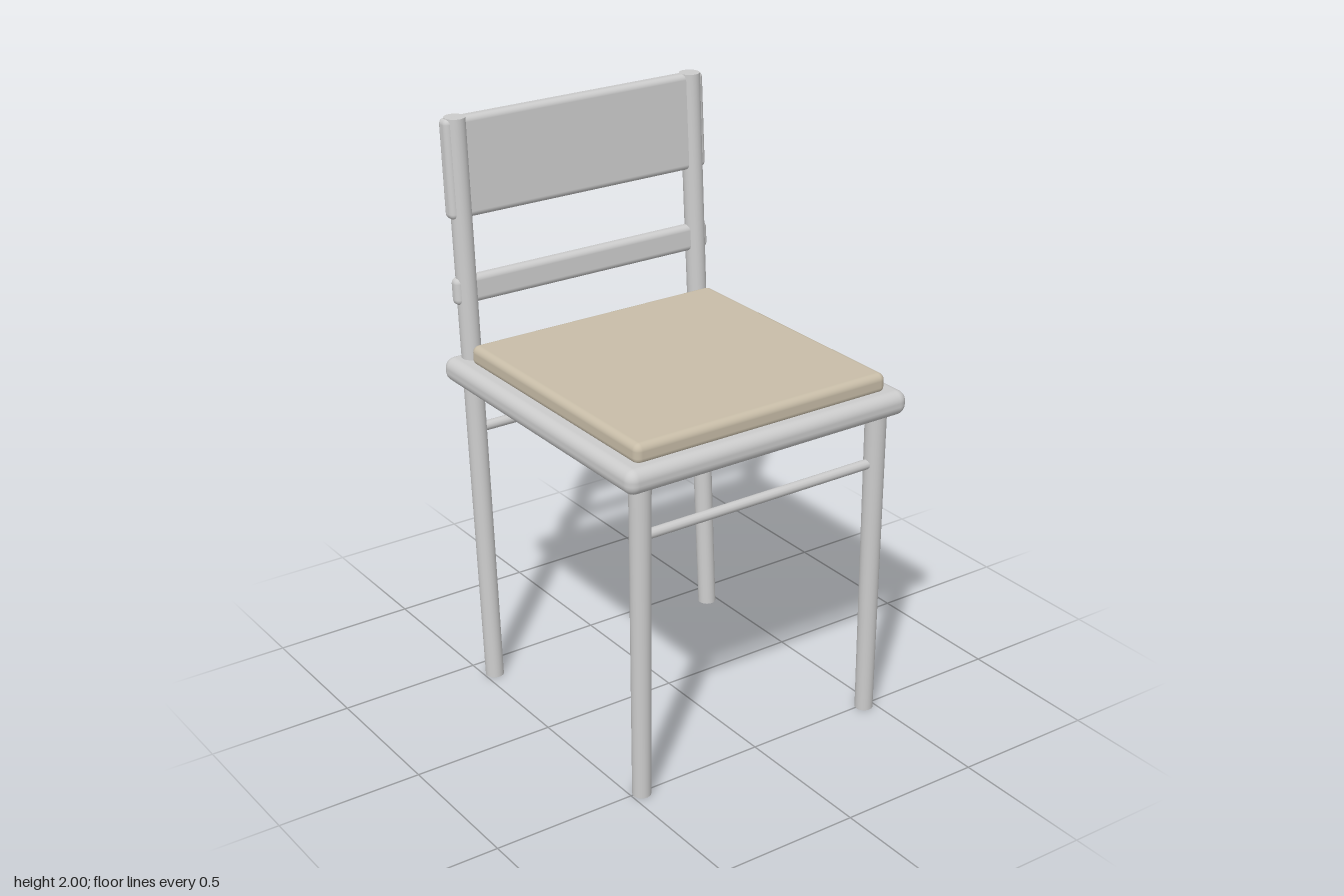
import * as THREE from 'three';
import { RoundedBoxGeometry } from 'three/addons/geometries/RoundedBoxGeometry.js';

const grey = new THREE.MeshStandardMaterial({ color: 0xcccccc });
const fabric = new THREE.MeshStandardMaterial({ color: 0xc8bda8 });

const LEG_X = 0.463;   // half distance between legs
const FRONT_Z = 0.507; // front leg line
const LEAN = 0.063;    // backward slope of the rear posts
const postZ = (y) => -0.411 - LEAN * y;

export function createModel() {
  const chair = new THREE.Group();
  chair.name = 'chair';

  const add = (name, geometry, x, y, z, material = grey) => {
    const mesh = new THREE.Mesh(geometry, material);
    mesh.name = name;
    mesh.position.set(x, y, z);
    chair.add(mesh);
    return mesh;
  };
  const slab = (name, [w, h, d], radius, y, z, material) =>
    add(name, new RoundedBoxGeometry(w, h, d, 4, radius), 0, y, z, material);

  // Seat board and cushion
  slab('seat', [1.09, 0.084, 1.12], 0.036, 1.144, 0.015);
  slab('cushion', [0.974, 0.07, 0.975], 0.024, 1.21, 0.0375, fabric);

  // Legs: straight tapered front legs, leaning rear posts with level ends
  for (const [side, s] of [['left', 1], ['right', -1]]) {
    add(side + 'FrontLeg', new THREE.CylinderGeometry(0.036, 0.031, 1.12, 20), s * LEG_X, 0.56, FRONT_Z);

    const post = new THREE.CylinderGeometry(0.036, 0.032, 2, 20);
    post.applyMatrix4(new THREE.Matrix4().set(
      1, 0, 0, 0,
      0, 1, 0, 0,
      0, -LEAN, 1, 0,
      0, 0, 0, 1));
    add(side + 'RearPost', post, s * LEG_X, 1, postZ(1));
  }

  // Thin round stretchers under the seat
  for (const [name, z] of [['frontStretcher', FRONT_Z], ['rearStretcher', postZ(0.93)]]) {
    const rod = new THREE.CylinderGeometry(0.017, 0.017, 2 * LEG_X, 12).rotateZ(Math.PI / 2);
    add(name, rod, 0, 0.93, z);
  }

  // Backrest panel and lower rail, tilted with the posts
  const tilt = -Math.atan(LEAN);
  slab('backrestPanel', [1.02, 0.336, 0.054], 0.02, 1.832, postZ(1.832) - 0.006).rotation.x = tilt;
  slab('backRail', [1.02, 0.094, 0.046], 0.02, 1.419, postZ(1.419) - 0.006).rotation.x = tilt;

  return chair;
}
